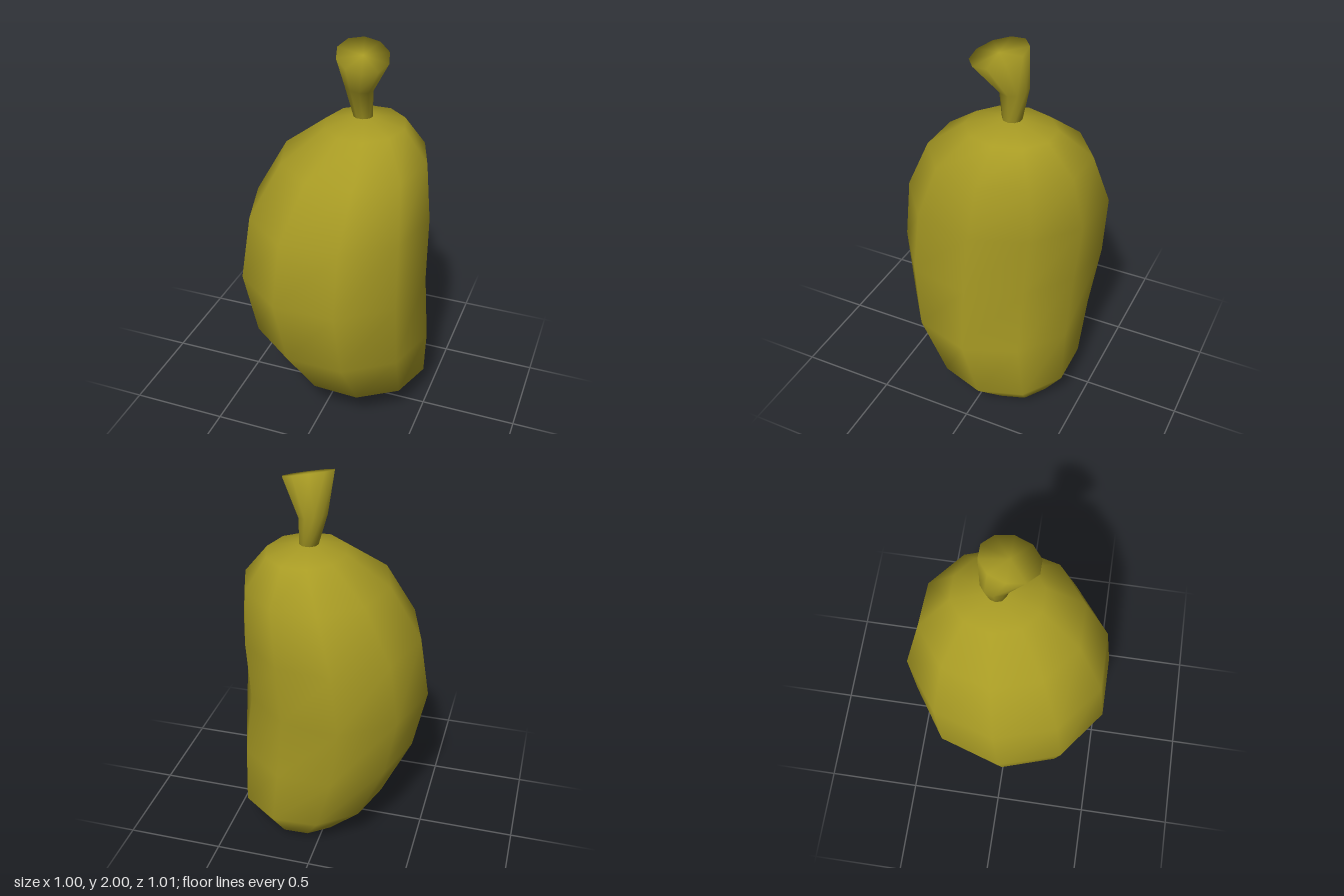
import * as THREE from 'three';

const SIDES = 10;

// Each section: y, centre x and z, radii, dent on the (+x, -z) flank, slope of the ring along x and z
function ring({ y, x, z, rx, rz = rx, dent = 0, sx = 0, sz = 0 }) {
  return Array.from({ length: SIDES }, (_, i) => {
    const a = (i / SIDES) * Math.PI * 2;
    const d = dent * Math.max(0, Math.cos(a + Math.PI / 4)) ** 2;
    const px = (rx - d) * Math.cos(a);
    const pz = (rz - d) * Math.sin(a);
    return [x + px, y + sx * px + sz * pz, z + pz];
  });
}

// Closed smooth skin over the sections, from the bottom point to the top point
function loft(bottom, sections, top) {
  const points = [bottom, ...sections.flatMap(ring), top];
  const last = points.length - 1;
  const index = [];
  for (let i = 0; i < SIDES; i++) {
    const j = (i + 1) % SIDES;
    index.push(0, 1 + i, 1 + j);
    for (let r = 0; r < sections.length - 1; r++) {
      const a = 1 + r * SIDES, b = a + SIDES;
      index.push(a + i, b + i, a + j, b + i, b + j, a + j);
    }
    const t = last - SIDES;
    index.push(t + i, last, t + j);
  }
  const geometry = new THREE.BufferGeometry();
  geometry.setAttribute('position', new THREE.Float32BufferAttribute(points.flat(), 3));
  geometry.setIndex(index);
  geometry.computeVertexNormals();
  return geometry;
}

export function createModel() {
  const group = new THREE.Group();
  group.name = 'fruit';
  const skin = new THREE.MeshStandardMaterial({ color: 0xa89b24 });
  skin.name = 'olive yellow skin';

  // Bean-shaped body, hollowed on one flank
  const body = new THREE.Mesh(loft([0.12, 0.005, -0.15], [
    { y: 0.045, x: 0.12, z: -0.125, rx: 0.21, rz: 0.205, sx: -0.03 },
    { y: 0.2, x: 0.095, z: -0.06, rx: 0.38, sx: -0.04 },
    { y: 0.49, x: 0.04, z: 0.015, rx: 0.47, rz: 0.475, dent: 0.02, sx: -0.02 },
    { y: 0.83, x: 0.005, z: 0.01, rx: 0.505, rz: 0.525, dent: 0.07 },
    { y: 1.16, x: 0.02, z: -0.02, rx: 0.475, rz: 0.515, dent: 0.05 },
    { y: 1.44, x: 0.073, z: -0.052, rx: 0.373, rz: 0.407, dent: 0.02 },
    { y: 1.595, x: 0.11, z: -0.075, rx: 0.2, rz: 0.225 },
  ], [0.1, 1.645, -0.07]), skin);
  body.name = 'body';

  // Flared stem with a slanted cut end
  const stem = new THREE.Mesh(loft([0.1, 1.62, -0.075], [
    { y: 1.625, x: 0.1, z: -0.075, rx: 0.047 },
    { y: 1.78, x: 0.077, z: -0.075, rx: 0.072, sx: -0.15, sz: -0.05 },
    { y: 1.96, x: 0.114, z: -0.016, rx: 0.127, rz: 0.14, sx: -0.2, sz: -0.25 },
  ], [0.114, 1.96, -0.016]), skin);
  stem.name = 'stem';

  group.add(body, stem);
  return group;
}
